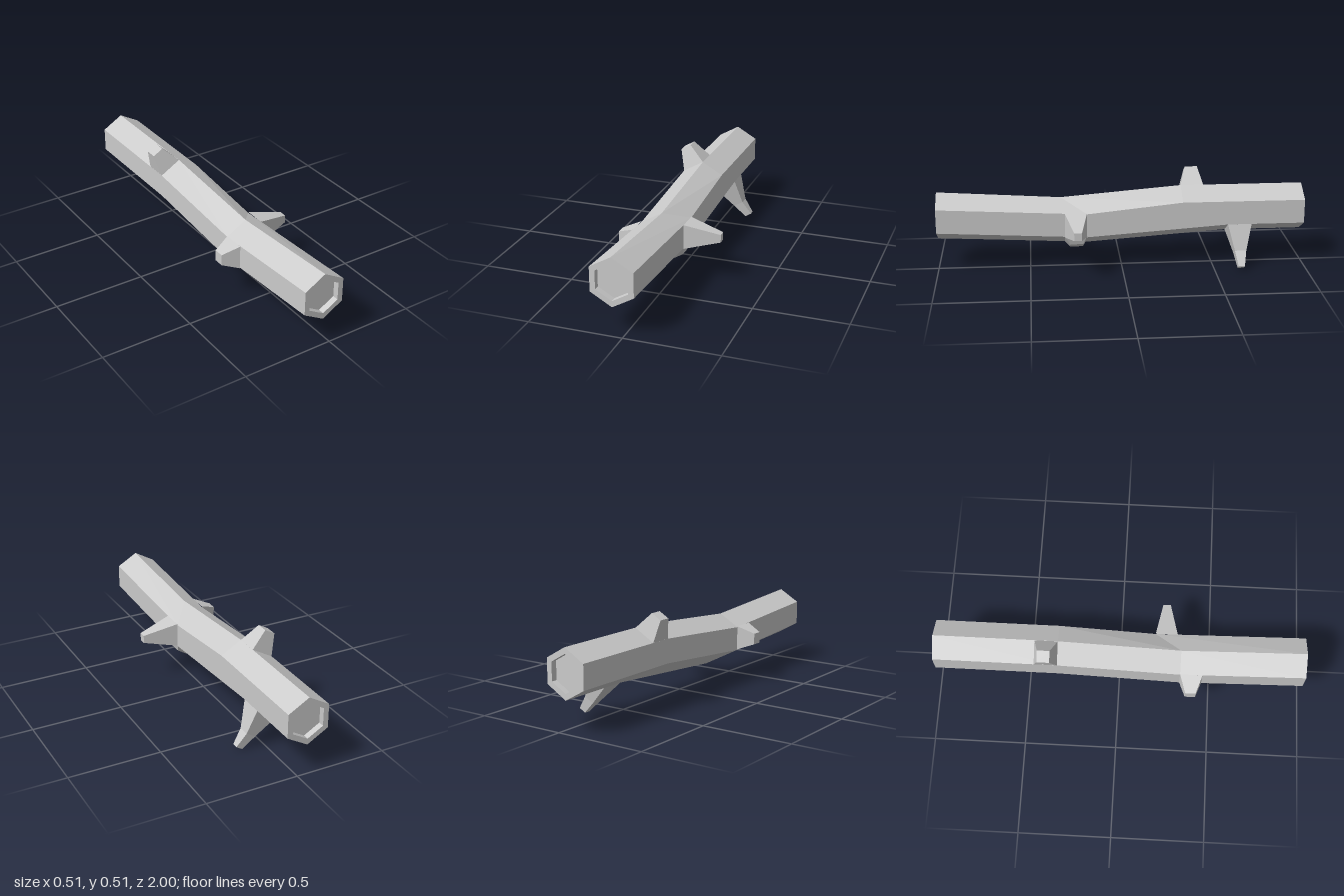
import * as THREE from 'three';

const material = new THREE.MeshStandardMaterial({ color: 0xcccccc, flatShading: true });

// Skin a list of equal-sized rings of [x, y, z] points, with optional end caps
function loft(name, rings, startCap = true) {
  const pos = [];
  const tri = (a, b, c) => pos.push(...a, ...b, ...c);
  const n = rings[0].length;
  for (let r = 0; r < rings.length - 1; r++) {
    const a = rings[r], b = rings[r + 1];
    for (let i = 0; i < n; i++) {
      const j = (i + 1) % n;
      tri(a[i], b[i], a[j]);
      tri(a[j], b[i], b[j]);
    }
  }
  const first = rings[0], last = rings[rings.length - 1];
  for (let i = 1; i < n - 1; i++) {
    if (startCap) tri(first[0], first[i], first[i + 1]);
    tri(last[0], last[i + 1], last[i]);
  }
  const geo = new THREE.BufferGeometry();
  geo.setAttribute('position', new THREE.Float32BufferAttribute(pos, 3));
  geo.computeVertexNormals();
  const mesh = new THREE.Mesh(geo, material);
  mesh.name = name;
  return mesh;
}

// Hexagonal ring, corner order: right low, right high, top, left high, left low, bottom.
// z is one value, or one per corner for a slanted bend.
function hexRing(radius, cy, z) {
  return Array.from({ length: 6 }, (_, i) => {
    const a = THREE.MathUtils.degToRad(-30 + i * 60);
    return [-0.049 + radius * Math.cos(a), cy + radius * Math.sin(a), Array.isArray(z) ? z[i] : z];
  });
}

// Tapered branch stub: each section is [x1, y1, x2, y2, zBack, zFront], base first
function stub(name, sections) {
  const rings = sections.map(([x1, y1, x2, y2, z0, z1]) =>
    [[x1, y1, z0], [x2, y2, z0], [x2, y2, z1], [x1, y1, z1]]);
  return loft(name, rings, false);
}

export function createModel() {
  const group = new THREE.Group();
  group.name = 'branchedLog';
  const R = 0.131, r = 0.098, depth = 0.033;

  // Bent trunk with a shallow recess in each end
  group.add(loft('trunk', [
    hexRing(r, 0.29, 1 - depth),
    hexRing(r, 0.29, 1),
    hexRing(R, 0.29, 1),
    hexRing(R, 0.247, [0.19, 0.19, 0.33, 0.33, 0.33, 0.19]),
    hexRing(R, 0.3, [-0.58, -0.33, -0.33, -0.33, -0.33, -0.58]),
    hexRing(R, 0.3, -1),
    hexRing(r, 0.3, -1),
    hexRing(r, 0.3, -1 + depth),
  ]));

  // Branch stubs
  group.add(stub('leftBranch', [
    [0.064, 0.318, 0.064, 0.183, 0.19, 0.31],
    [0.254, 0.272, 0.254, 0.229, 0.226, 0.267],
  ]));
  group.add(stub('rightBranch', [
    [-0.162, 0.185, -0.162, 0.318, 0.33, 0.45],
    [-0.255, 0.22, -0.255, 0.281, 0.362, 0.418],
  ]));
  group.add(stub('upperBranch', [
    [-0.162, 0.365, -0.049, 0.43, -0.455, -0.33],
    [-0.19, 0.481, -0.135, 0.512, -0.43, -0.363],
  ]));
  group.add(stub('lowerBranch', [
    [0.064, 0.235, -0.049, 0.17, -0.71, -0.58],
    [0.104, 0.095, 0.054, 0.066, -0.678, -0.615],
    [0.154, 0.022, 0.12, 0.001, -0.664, -0.63],
  ]));
  group.add(stub('shortLowerBranch', [
    [0.064, 0.19, -0.049, 0.124, 0.19, 0.31],
    [0.05, 0.138, 0, 0.108, 0.212, 0.282],
  ]));
  return group;
}
